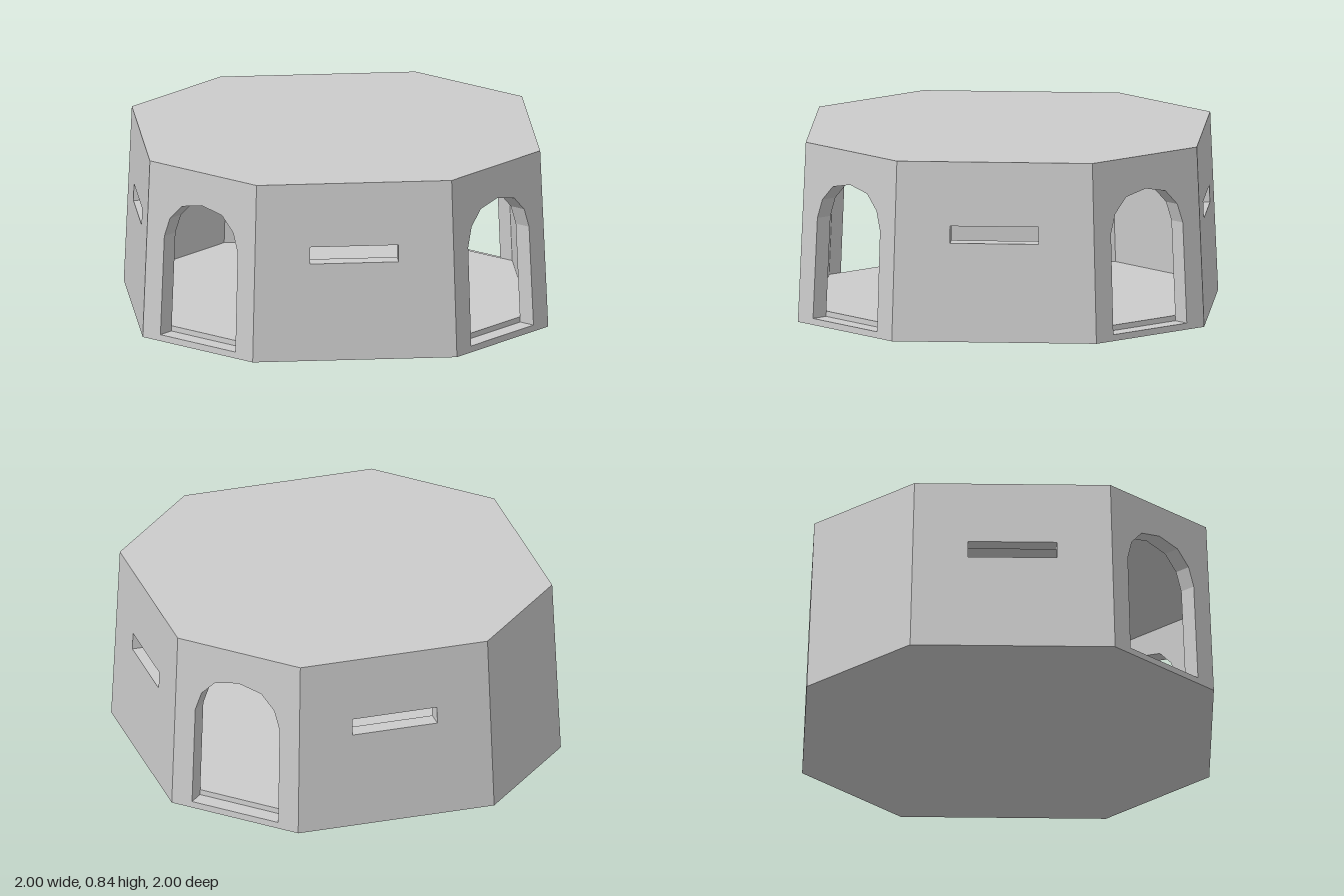
import * as THREE from 'three';

const H = 0.84, T = 0.08, FLOOR = 0.055, CEILING = 0.785;

// distance of wall i from the axis at height y, inset by t (even walls are straight, odd ones diagonal)
const reach = (i, y, t) => (i % 2 ? (1.33 - 0.05 * y / H) / Math.SQRT2 : 1 - 0.04 * y / H) - t;
const halfWidth = (i, y, t) => reach(i + 1, y, t) * Math.SQRT2 - reach(i, y, t);

// point on wall i, u sideways and y up
function onWall(i, u, y, t) {
  const a = i * Math.PI / 4, r = reach(i, y, t);
  return [Math.sin(a) * r + Math.cos(a) * u, y, Math.cos(a) * r - Math.sin(a) * u];
}

const corner = (i, y, t) => onWall(i % 8, halfWidth(i % 8, y, t), y, t);

const material = new THREE.MeshStandardMaterial({ color: 0xcccccc, flatShading: true });

function makeMesh(name, positions) {
  const geo = new THREE.BufferGeometry();
  geo.setAttribute('position', new THREE.Float32BufferAttribute(positions.flat(), 3));
  geo.computeVertexNormals();
  const mesh = new THREE.Mesh(geo, material);
  mesh.name = name;
  return mesh;
}

const quad = (a, b, c, d) => [a, b, c, a, c, d];

// opening outlines, counter-clockwise
const doorSide = [[0.225, 0.03], [0.22, 0.5], [0.19, 0.59], [0.12, 0.66]];
const mirrored = doorSide.map(([x, y]) => [-x, y]).reverse();
const doorHole = [...doorSide, [0, 0.685], ...mirrored];
const slitHole = [[-0.205, 0.46], [0.205, 0.46], [0.205, 0.54], [-0.205, 0.54]];

// sloped wall: outer skin, inner skin and the reveal of its opening
function makeWall(name, i, hole) {
  const out = [];
  for (const t of [0, T]) {
    const top = t ? CEILING : H;
    const b = halfWidth(i, 0, t), w = halfWidth(i, top, t);
    const shape = new THREE.Shape([[-b, 0], [b, 0], [w, top], [-w, top]].map(p => new THREE.Vector2(...p)));
    if (hole) shape.holes.push(new THREE.Path(hole.map(p => new THREE.Vector2(...p))));
    const flat = new THREE.ShapeGeometry(shape);
    const pos = flat.attributes.position, index = [...flat.index.array];
    if (t) index.reverse();
    for (const k of index) out.push(onWall(i, pos.getX(k), pos.getY(k), t));
  }
  if (hole) hole.forEach((p, k) => {
    const q = hole[(k + 1) % hole.length];
    out.push(...quad(onWall(i, ...p, 0), onWall(i, ...q, 0), onWall(i, ...q, T), onWall(i, ...p, T)));
  });
  return makeMesh(name, out);
}

// octagonal face, turned up or down
function cap(y, t, up) {
  const out = [];
  for (let i = 0; i < 8; i++) {
    const a = corner(i, y, t), b = corner(i + 1, y, t);
    out.push([0, y, 0], ...(up ? [a, b] : [b, a]));
  }
  return out;
}

export function createModel() {
  const group = new THREE.Group();
  group.name = 'octagonalBunker';

  // doors at the front and both sides, slits in the diagonals, plain back
  const names = ['frontWall', 'frontLeftWall', 'leftWall', 'backLeftWall',
    'backWall', 'backRightWall', 'rightWall', 'frontRightWall'];
  names.forEach((name, i) => group.add(makeWall(name, i, i % 2 ? slitHole : i === 4 ? null : doorHole)));

  // floor slab with its step behind each doorway
  const floor = [...cap(0, 0, false), ...cap(FLOOR, T, true)];
  for (let i = 0; i < 8; i++) {
    floor.push(...quad(corner(i, 0, T), corner(i + 1, 0, T), corner(i + 1, FLOOR, T), corner(i, FLOOR, T)));
  }
  group.add(makeMesh('floor', floor));

  // flat roof and ceiling
  group.add(makeMesh('roof', [...cap(H, 0, true), ...cap(CEILING, T, false)]));
  return group;
}
